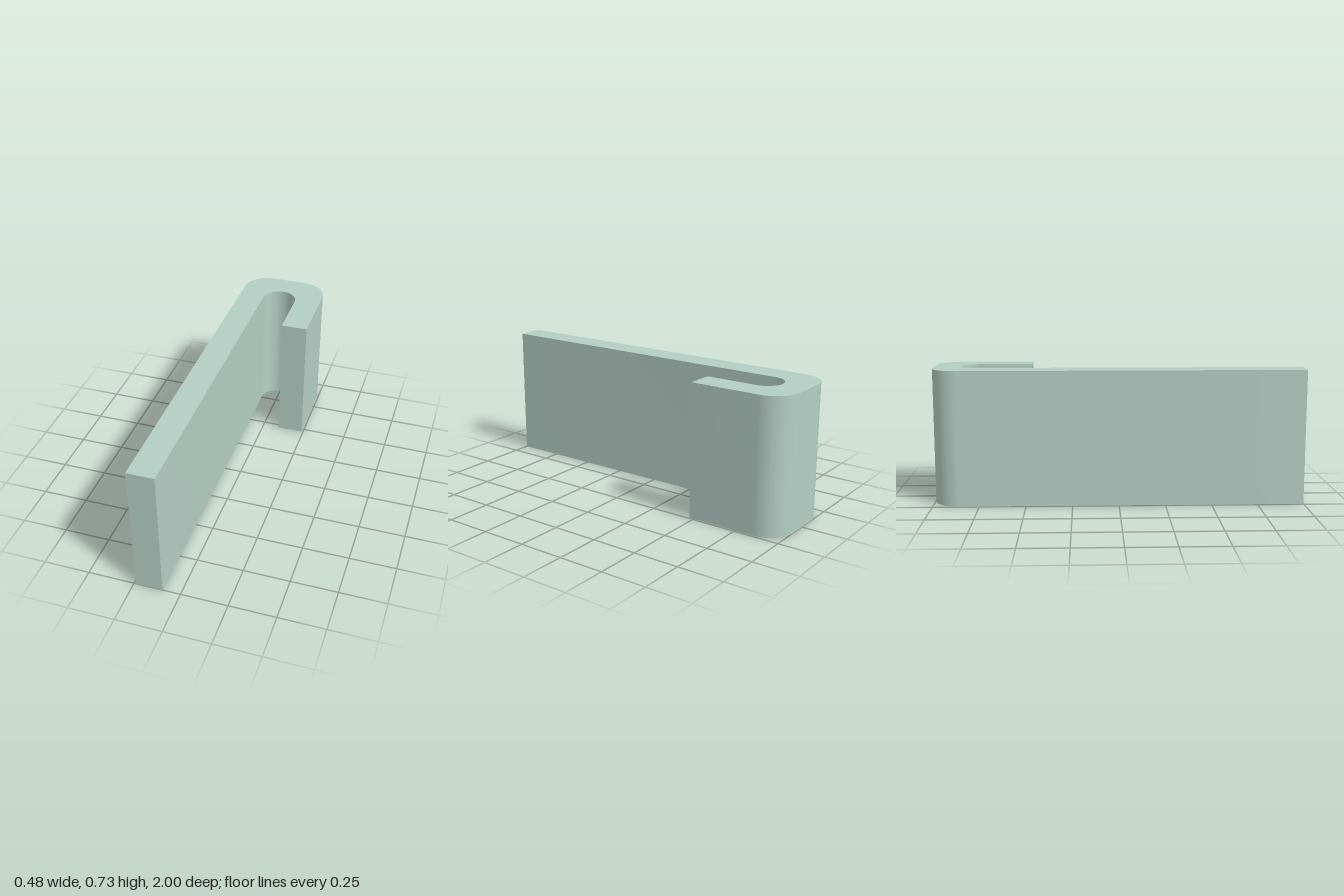
import * as THREE from 'three';
import { toCreasedNormals } from 'three/addons/utils/BufferGeometryUtils.js';

export function createModel() {
  const W = 0.241, IN = 0.096, H = 0.73;   // outer and inner half widths, height
  const R = W - IN, BACK = 1, TIP = 0.475; // corner radius, back plane, short leg end

  // Plan outline of the hook; shape y becomes -z
  const s = new THREE.Shape();
  s.moveTo(-W, -1);
  s.lineTo(-IN, -1);
  s.lineTo(-IN, BACK - R - IN);
  s.absarc(0, BACK - R - IN, IN, Math.PI, 0, true);      // inside bend
  s.lineTo(IN, TIP);
  s.lineTo(W, TIP);
  s.lineTo(W, BACK - R);
  s.absarc(W - R, BACK - R, R, 0, Math.PI / 2, false);   // outer corners
  s.lineTo(-W + R, BACK);
  s.absarc(-W + R, BACK - R, R, Math.PI / 2, Math.PI, false);
  s.closePath();

  const extruded = new THREE.ExtrudeGeometry(s, { depth: H, bevelEnabled: false, curveSegments: 24 });
  extruded.rotateX(-Math.PI / 2);

  const hook = new THREE.Mesh(
    toCreasedNormals(extruded, Math.PI / 6),
    new THREE.MeshStandardMaterial({ color: 0xb4cfc5 })
  );
  hook.name = 'hookProfile';

  const group = new THREE.Group();
  group.name = 'hookClip';
  group.add(hook);
  return group;
}
